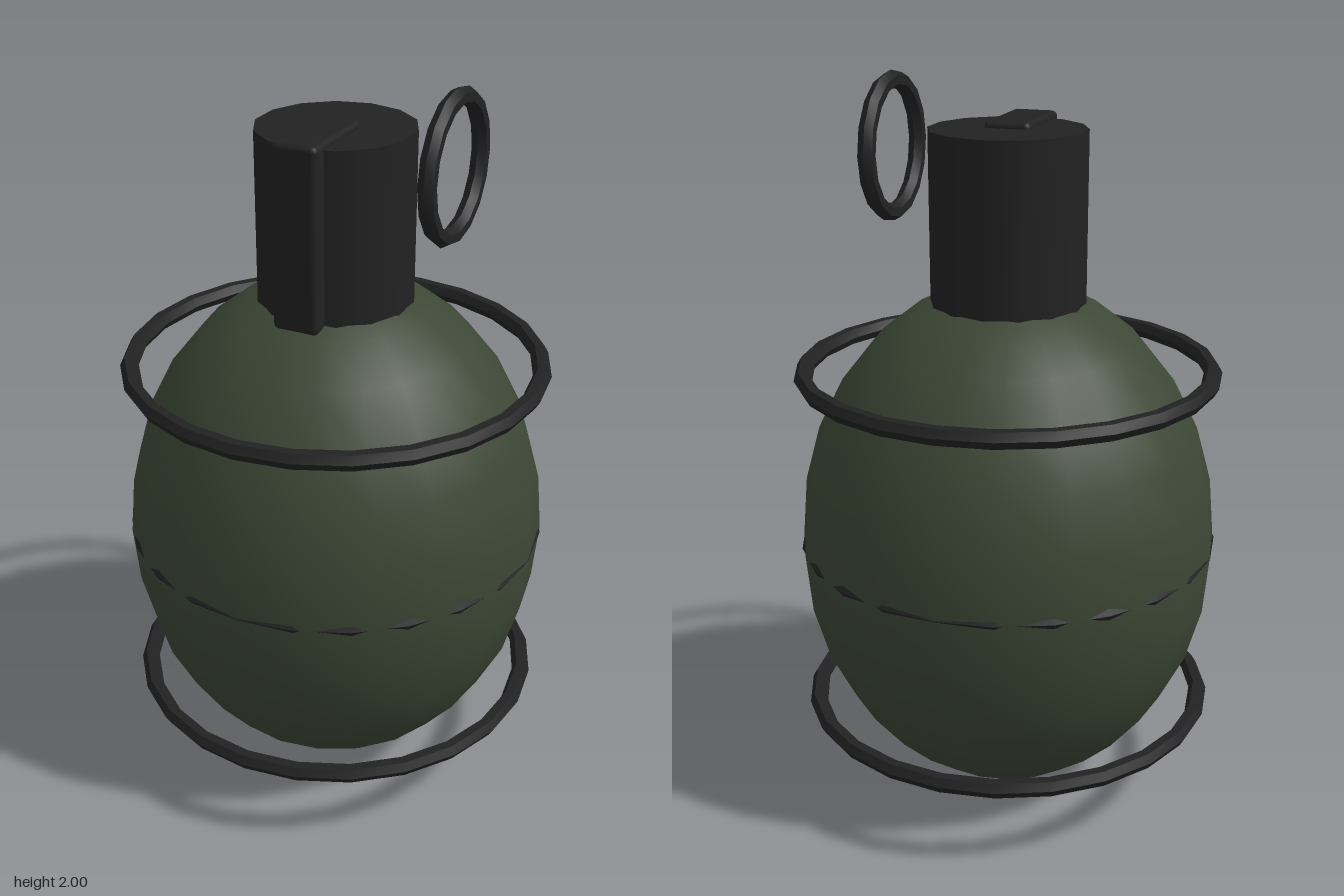
import * as THREE from 'three';
import { toCreasedNormals } from 'three/addons/utils/BufferGeometryUtils.js';
import { RoundedBoxGeometry } from 'three/addons/geometries/RoundedBoxGeometry.js';

export function createModel() {
  const model = new THREE.Group();
  model.name = 'grenade';

  const green = new THREE.MeshStandardMaterial({ color: 0x3c4735 });
  green.name = 'olive green';
  const black = new THREE.MeshStandardMaterial({ color: 0x222222 });
  black.name = 'dark metal';

  const add = (name, geometry, material, x, y, z) => {
    const mesh = new THREE.Mesh(geometry, material);
    mesh.name = name;
    mesh.position.set(x, y, z);
    model.add(mesh);
    return mesh;
  };

  // Ring with a six-sided section, given by its outer radius
  const ring = (outer, tube, segments) =>
    toCreasedNormals(new THREE.TorusGeometry(outer - tube, tube, 6, segments), 0.6);

  // Egg-shaped body
  const bodyGeometry = new THREE.SphereGeometry(1, 20, 14).scale(0.58, 0.73, 0.58);
  add('body', bodyGeometry, green, 0, 0.73, 0);

  // Three level bands; the middle one barely breaks through the body
  const bands = [['lowerBand', 0.245], ['middleSeam', 0.73], ['upperBand', 1.217]];
  for (const [name, y] of bands) {
    add(name, ring(0.581, 0.025, 24), black, 0, y, 0).rotation.x = Math.PI / 2;
  }

  // Fuse cap
  add('fuseCap', new THREE.CylinderGeometry(0.21, 0.21, 0.485, 14), black, 0, 1.6225, 0);

  // Safety lever over the cap top and down its front
  add('safetyLever', new RoundedBoxGeometry(0.126, 0.49, 0.257, 2, 0.015), black, 0, 1.637, 0.1115);

  // Pull ring standing beside the cap
  add('pullRing', ring(0.198, 0.0235, 16), black, 0.322, 1.802, 0).rotation.y = Math.PI / 2;

  return model;
}
